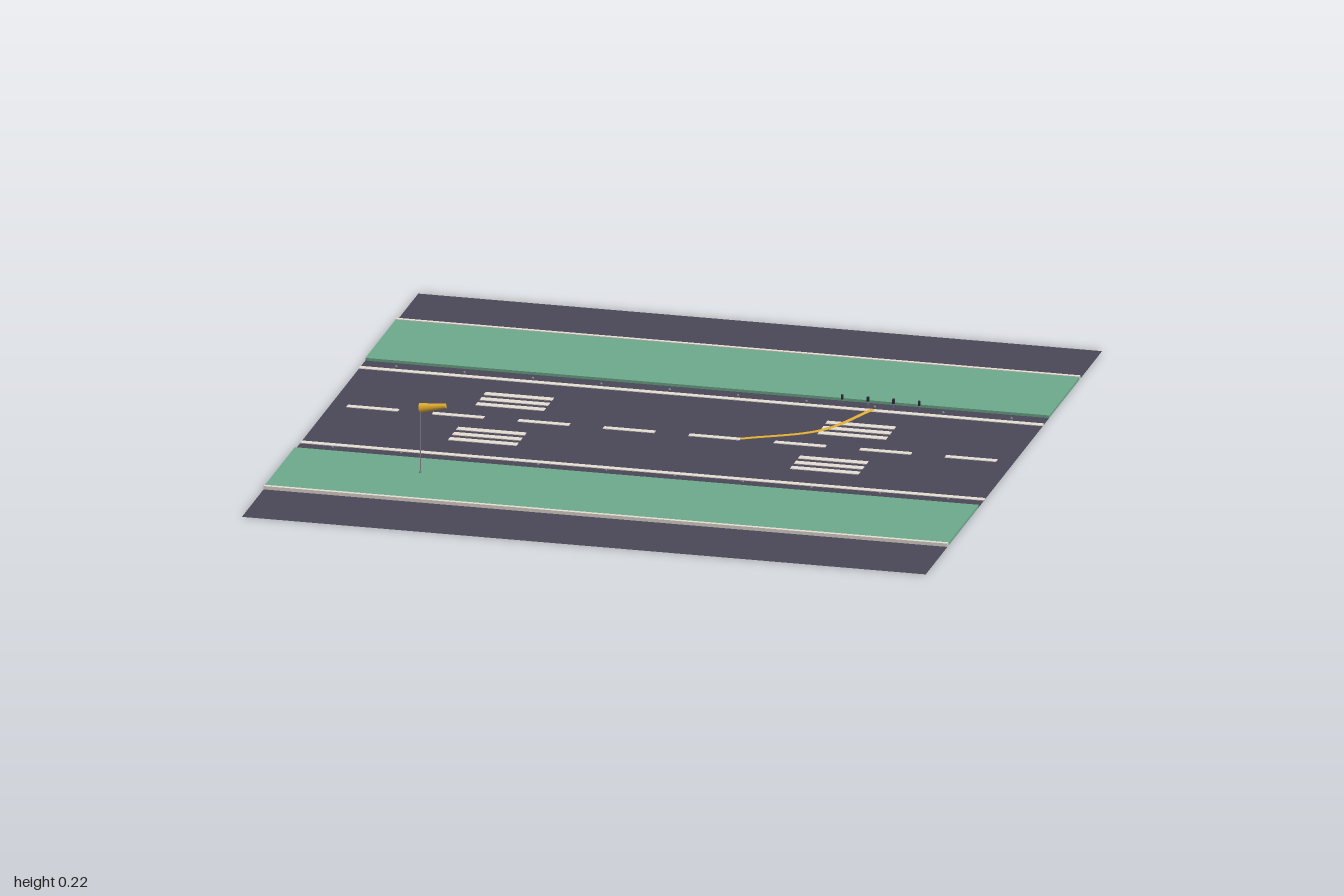
import * as THREE from 'three';

const mat = (name, color, side = THREE.FrontSide) => {
  const m = new THREE.MeshStandardMaterial({ color, side });
  m.name = name;
  return m;
};

export function createModel() {
  const asphalt = mat('asphalt', 0x4a4858, THREE.DoubleSide);
  const grass = mat('grass', 0x6dab8c);
  const paint = mat('white paint', 0xece4da);
  const yellow = mat('yellow', 0xeab434);
  const metal = mat('pole metal', 0x8a8a98);
  const black = mat('dark housing', 0x2c2c34);

  const root = new THREE.Group();
  root.name = 'airfield';
  const add = (name, geometry, material, x = 0, y = 0, z = 0, parent = root) => {
    const mesh = new THREE.Mesh(geometry, material);
    mesh.name = name;
    mesh.position.set(x, y, z);
    parent.add(mesh);
    return mesh;
  };
  // Box standing on height y
  const box = (name, w, h, d, material, x, y, z, parent) =>
    add(name, new THREE.BoxGeometry(w, h, d), material, x, y + h / 2, z, parent);

  // Ground sheet
  add('ground', new THREE.PlaneGeometry(2, 2).rotateX(-Math.PI / 2), asphalt);

  for (const s of [-1, 1]) {
    // Grass verge with its outer curb
    box('grassVerge', 2, 0.008, 0.342, grass, 0, 0, s * 0.571);
    box('curb', 2, 0.01, 0.012, paint, 0, 0, s * 0.748);

    // Runway edge line
    box('edgeLine', 2, 0.002, 0.02, paint, 0, 0.001, s * 0.334);

    // Touchdown bars
    for (const x of [-0.5, 0.5])
      for (const z of [0.11, 0.156, 0.202])
        box('touchdownBar', 0.2, 0.002, 0.024, paint, x, 0.001, s * z);

    // Edge lights
    for (let i = 0; i < 10; i++)
      add('edgeLight', new THREE.SphereGeometry(0.004, 8, 6), metal, -0.9 + i * 0.2, 0.004, s * 0.36);
  }

  // Centre line dashes
  for (let i = 0; i < 8; i++)
    box('centreDash', 0.15, 0.002, 0.02, paint, -0.875 + i * 0.25, 0.001, 0);

  // Curved taxi line: a flattened tube lying on the runway
  const curve = new THREE.CatmullRomCurve3([
    new THREE.Vector3(0.2, 0, 0), new THREE.Vector3(0.4, 0, -0.125), new THREE.Vector3(0.5, 0, -0.34)]);
  add('taxiLine', new THREE.TubeGeometry(curve, 32, 0.0075, 8).scale(1, 0.25, 1), yellow, 0, 0.003, 0);

  // Row of approach lights on short legs
  for (let i = 0; i < 4; i++) {
    const unit = new THREE.Group();
    unit.name = 'approachLight';
    unit.position.set(0.4 + i * 0.075, 0, -0.38);
    box('leg', 0.002, 0.012, 0.002, metal, 0, 0, 0, unit);
    box('housing', 0.006, 0.013, 0.009, black, 0, 0.012, 0, unit);
    root.add(unit);
  }

  // Windsock
  const windsock = new THREE.Group();
  windsock.name = 'windsock';
  windsock.position.set(-0.6, 0, 0.525);
  add('foot', new THREE.CylinderGeometry(0.004, 0.005, 0.004, 8), metal, 0, 0.01, 0, windsock);
  add('pole', new THREE.CylinderGeometry(0.002, 0.002, 0.2, 8), metal, 0, 0.1, 0, windsock);
  const sock = add('sock', new THREE.CylinderGeometry(0.007, 0.0145, 0.077, 8),
    yellow, 0.036, 0.208, 0, windsock);
  sock.rotation.z = -Math.PI / 2 + 0.16;
  root.add(windsock);

  return root;
}
